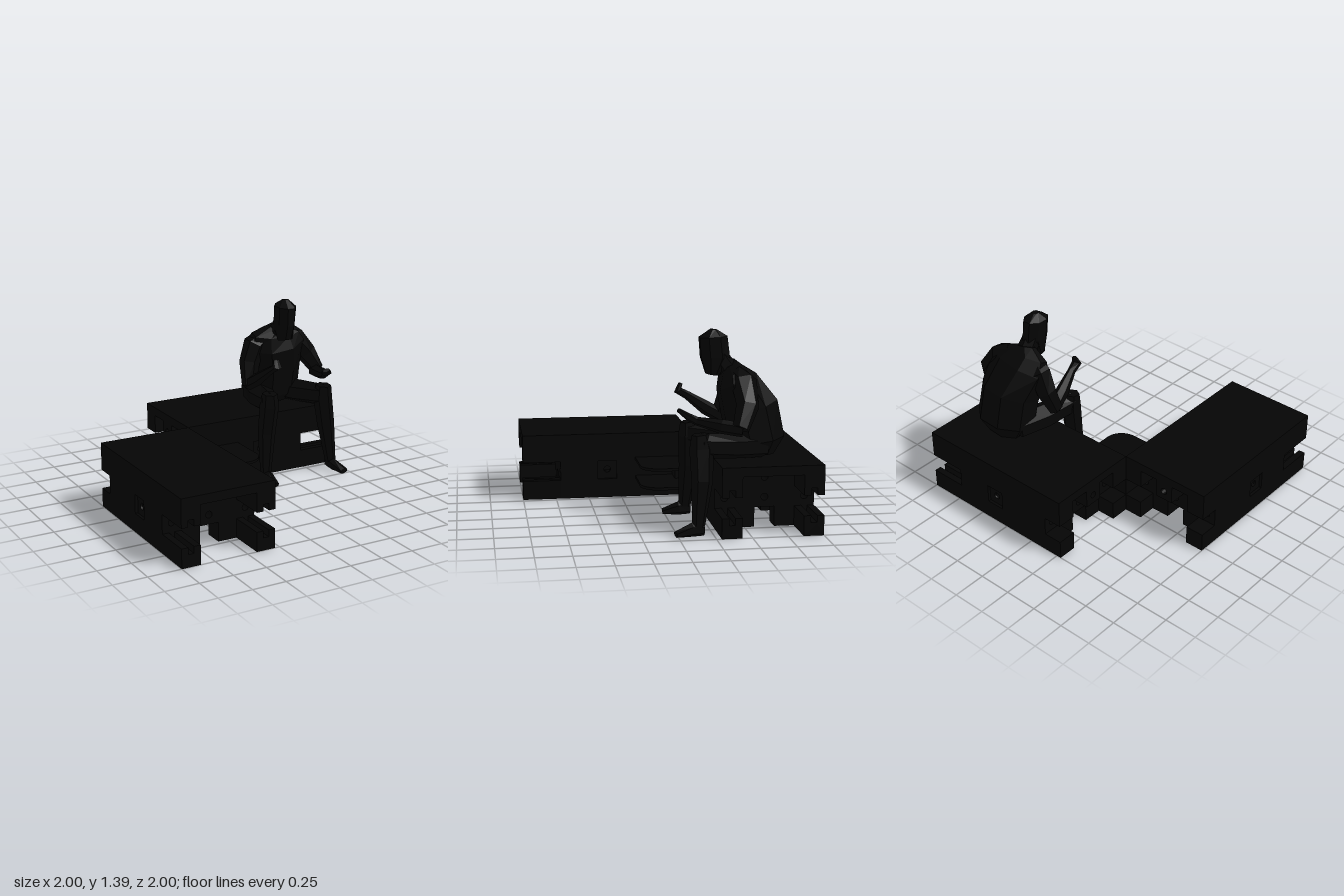
import * as THREE from 'three';

const black = new THREE.MeshStandardMaterial({ color: 0x050505, flatShading: true });
const M = 1 / 14;          // timber module
const H = 2 * M;           // timber height and width
const END = 1, INNER = -4 * M, STOP = 10 * M, BORE = 5 * M, R = 0.025;

function add(parent, name, geometry, x = 0, y = 0, z = 0) {
  const mesh = new THREE.Mesh(geometry, black);
  mesh.name = name;
  mesh.position.set(x, y, z);
  parent.add(mesh);
  return mesh;
}

// Box given by its limits
function block(parent, name, x0, x1, y0, y1, z0, z1) {
  return add(parent, name, new THREE.BoxGeometry(x1 - x0, y1 - y0, z1 - z0),
    (x0 + x1) / 2, (y0 + y1) / 2, (z0 + z1) / 2);
}

// Outline extruded along z
function extrude(parent, name, shape, x, y, z, length) {
  return add(parent, name, new THREE.ExtrudeGeometry(shape, { depth: length, bevelEnabled: false, curveSegments: 10 }), x, y, z);
}

const outline = points => new THREE.Shape(points.map(([x, y]) => new THREE.Vector2(x * M, y * M)));

// Square timber along z, bored along its length
function boredBeam(parent, name, x, y, z, length) {
  const shape = outline([[-1, -1], [1, -1], [1, 1], [-1, 1]]);
  shape.holes.push(new THREE.Path().absarc(0, 0, R, 0, Math.PI * 2, true));
  return extrude(parent, name, shape, x, y, z, length);
}

// Long rail whose overhanging end is grooved on the side facing the middle layer
function rail(parent, name, x, y, grooveSide) {
  block(parent, name, x - M, x + M, y - M, y + M, INNER, STOP);
  const shape = outline([[-1, -1], [1, -1], [1, 1], [0.3, 1], [0.3, 0.3], [-0.3, 0.3], [-0.3, 1], [-1, 1]]);
  const end = extrude(parent, name + 'End', shape, x, y, STOP, END - STOP);
  if (grooveSide < 0) {
    end.rotation.y = Math.PI;
    end.rotation.x = Math.PI;
  }
}

// Seat on three layers of stacked timbers, running along z
function benchUnit(name) {
  const g = new THREE.Group();
  g.name = name;
  block(g, 'seatSlab', -5 * M, 5 * M, 3 * H, 0.495, INNER, END);
  for (const s of [-1, 1]) {
    const x = s * 4 * M;
    rail(g, 'bottomRail', x, M, 1);
    rail(g, 'topRail', x, 5 * M, -1);
    // spacers between the rails, set back from the ends
    const a = s * 2 * M;
    for (const k of [-2, 2, 8]) {
      ['bottomSpacer', 'middleSpacer', 'topSpacer'].forEach((part, i) =>
        block(g, part, a - M, a + M, i * H, (i + 1) * H, k * M, k * M + H));
    }
    // bored plate in the recess on each side face
    const plate = boredBeam(g, 'borePlate', s * 4.6 * M - 0.1 * M, 1.5 * H, BORE, 0.2 * M);
    plate.rotation.y = Math.PI / 2;
  }
  // middle layer, set back at both ends, with a gap for the cross bore
  for (const x of [-4 * M, 0, 4 * M]) {
    boredBeam(g, 'middleBeam', x, 1.5 * H, -H, BORE - M + H);
    boredBeam(g, 'middleBeam', x, 1.5 * H, BORE + M, STOP - BORE - M);
    const w = 0.5 * M;
    block(g, 'boreFloor', x - w, x + w, H, 1.5 * H - R, BORE - M, BORE + M);
    block(g, 'boreRoof', x - w, x + w, 1.5 * H + R, 2 * H, BORE - M, BORE + M);
  }
  boredBeam(g, 'topCentreBeam', 0, 2.5 * H, INNER, STOP - INNER);
  return g;
}

// Faceted body part from rings [x, y, z, halfWidth, halfDepth]
function loft(parent, name, rings, n = 6) {
  const c = rings.map(r => new THREE.Vector3(r[0], r[1], r[2]));
  const pos = [], idx = [], last = rings.length - 1;
  rings.forEach((r, i) => {
    const t = c[Math.min(i + 1, last)].clone().sub(c[Math.max(i - 1, 0)]).normalize();
    const side = new THREE.Vector3(1, 0, 0).addScaledVector(t, -t.x).normalize();
    const other = t.clone().cross(side);
    for (let j = 0; j < n; j++) {
      const a = (j + 0.5) / n * Math.PI * 2;
      const p = c[i].clone().addScaledVector(side, r[3] * Math.cos(a)).addScaledVector(other, r[4] * Math.sin(a));
      pos.push(p.x, p.y, p.z);
      const k = (j + 1) % n, o = i * n;
      if (i < last) idx.push(o + j, o + k, o + n + k, o + j, o + n + k, o + n + j);
    }
  });
  for (let j = 1; j < n - 1; j++) idx.push(0, j + 1, j, last * n, last * n + j, last * n + j + 1);
  let geo = new THREE.BufferGeometry();
  geo.setAttribute('position', new THREE.Float32BufferAttribute(pos, 3));
  geo.setIndex(idx);
  geo = geo.toNonIndexed();
  geo.computeVertexNormals();
  return add(parent, name, geo);
}

function seatedFigure() {
  const g = new THREE.Group();
  g.name = 'seatedFigure';
  loft(g, 'torso', [
    [0.62, 0.51, -0.6, 0.16, 0.12], [0.61, 0.61, -0.6, 0.23, 0.2], [0.6, 0.83, -0.55, 0.23, 0.21],
    [0.57, 1.02, -0.46, 0.25, 0.15], [0.56, 1.1, -0.43, 0.21, 0.09], [0.57, 1.15, -0.41, 0.09, 0.05]], 8);
  loft(g, 'neck', [[0.565, 1.07, -0.43, 0.08, 0.07], [0.565, 1.2, -0.34, 0.07, 0.06]]);
  loft(g, 'head', [
    [0.565, 1.07, -0.29, 0.06, 0.05], [0.565, 1.19, -0.31, 0.075, 0.11],
    [0.565, 1.335, -0.295, 0.08, 0.105], [0.565, 1.385, -0.3, 0.025, 0.025]], 8);

  // arms: shoulder, elbow, wrist, fingertips
  loft(g, 'rightUpperArm', [
    [0.46, 1.08, -0.45, 0.06, 0.06], [0.39, 1.02, -0.46, 0.085, 0.09],
    [0.34, 0.88, -0.45, 0.08, 0.08], [0.3, 0.71, -0.39, 0.05, 0.06]]);
  loft(g, 'rightForearm', [
    [0.31, 0.72, -0.41, 0.055, 0.05], [0.33, 0.79, -0.29, 0.05, 0.05], [0.36, 0.89, -0.15, 0.03, 0.03],
    [0.37, 0.93, -0.08, 0.04, 0.03], [0.37, 0.98, -0.1, 0.025, 0.015]]);
  loft(g, 'leftUpperArm', [
    [0.67, 1.09, -0.45, 0.06, 0.06], [0.75, 1.04, -0.48, 0.085, 0.09],
    [0.87, 0.89, -0.48, 0.08, 0.08], [0.945, 0.75, -0.42, 0.05, 0.06]]);
  loft(g, 'leftForearm', [
    [0.93, 0.74, -0.44, 0.05, 0.05], [0.89, 0.76, -0.3, 0.055, 0.05], [0.83, 0.79, -0.14, 0.03, 0.03],
    [0.81, 0.82, -0.08, 0.045, 0.025], [0.77, 0.86, -0.02, 0.03, 0.015]]);

  // legs: hip, knee, ankle, and a foot on the ground
  for (const [side, hip, knee, foot, toe] of [['right', 0.49, 0.355, 0.31, 0.295], ['left', 0.71, 0.84, 0.905, 0.93]]) {
    loft(g, side + 'Thigh', [
      [hip, 0.59, -0.62, 0.11, 0.09], [(hip + knee) / 2, 0.6, -0.4, 0.11, 0.09], [knee, 0.62, -0.16, 0.07, 0.085]]);
    loft(g, side + 'Shin', [
      [knee, 0.7, -0.16, 0.06, 0.06], [knee, 0.6, -0.17, 0.07, 0.085],
      [(knee + foot) / 2, 0.38, -0.17, 0.065, 0.075], [foot, 0.07, -0.14, 0.04, 0.045]]);
    loft(g, side + 'Foot', [
      [foot, 0.05, -0.18, 0.03, 0.045], [foot, 0.05, -0.1, 0.04, 0.05], [toe, 0.025, 0.02, 0.04, 0.022]]);
  }
  return g;
}

// Two low corner shelves, each with one rounded corner
function cornerShelf() {
  const g = new THREE.Group();
  g.name = 'cornerShelf';
  const s = new THREE.Shape().moveTo(INNER, INNER).lineTo(H, INNER).lineTo(H, 0);
  s.absarc(0, 0, H, 0, Math.PI / 2, false).lineTo(INNER, H).closePath();
  for (const y of [H, 2 * H]) {
    const shelf = extrude(g, 'shelf', s, 0, y + 0.02, 0, 0.02);
    shelf.rotation.x = Math.PI / 2;
  }
  block(g, 'shelfPost', INNER, INNER + H, H + 0.02, 2 * H, INNER, INNER + H);
  return g;
}

export function createModel() {
  const model = new THREE.Group();
  model.name = 'cornerBenchWithFigure';
  const frontBench = benchUnit('frontBench');
  frontBench.position.x = -9 * M;
  const backBench = benchUnit('backBench');
  backBench.rotation.y = Math.PI / 2;
  backBench.position.z = -9 * M;
  model.add(frontBench, backBench, cornerShelf(), seatedFigure());
  return model;
}
